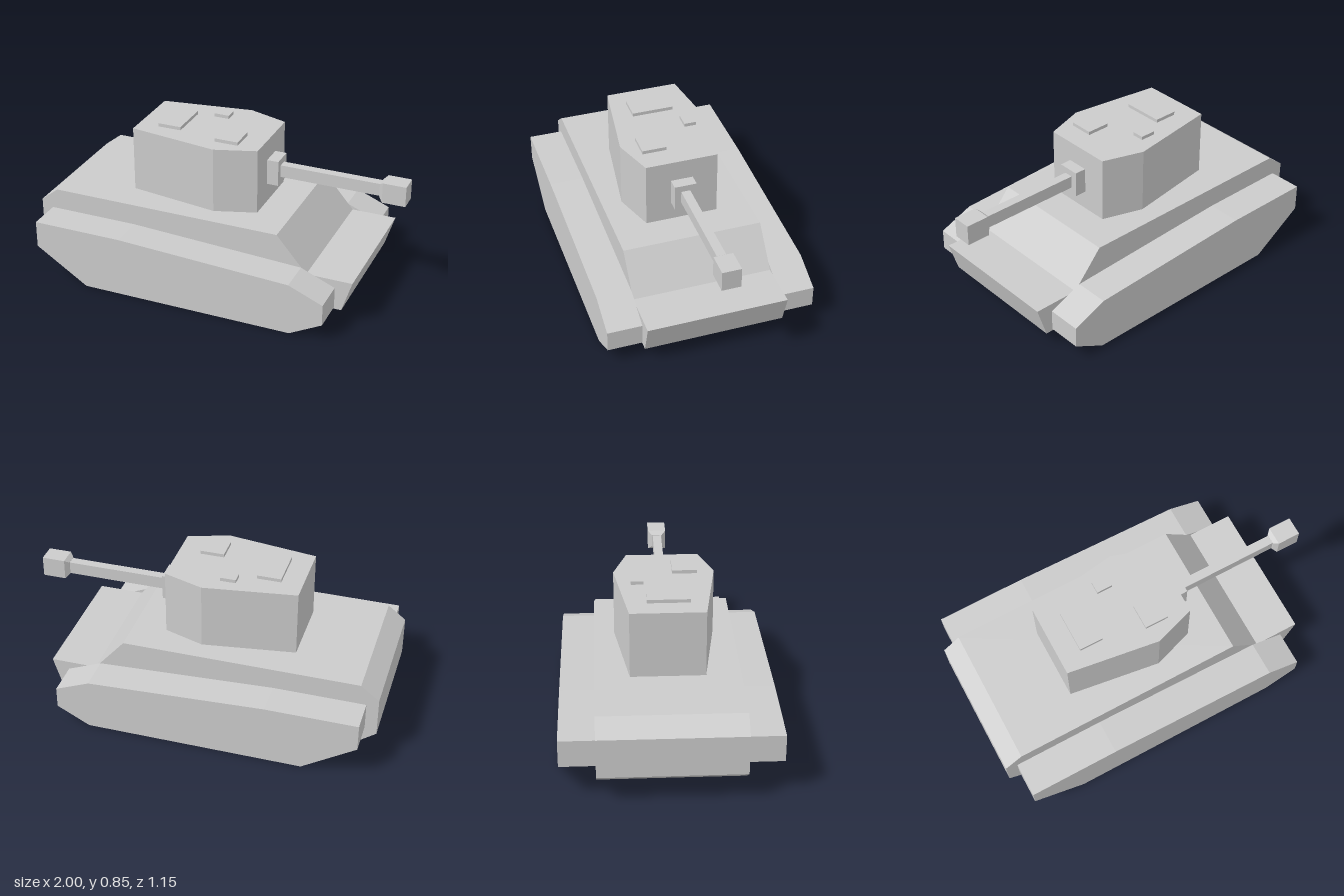
import * as THREE from 'three';

const material = new THREE.MeshStandardMaterial({ color: 0xcccccc, flatShading: true });

function addMesh(parent, name, geometry) {
  const mesh = new THREE.Mesh(geometry, material);
  mesh.name = name;
  parent.add(mesh);
  return mesh;
}

// Side outline (x, y) extruded across z
function sidePrism(points, z0, z1) {
  const shape = new THREE.Shape(points.map(([x, y]) => new THREE.Vector2(x, y)));
  return new THREE.ExtrudeGeometry(shape, { depth: z1 - z0, bevelEnabled: false }).translate(0, 0, z0);
}

// Plan outline (x, z) extruded upwards
function planPrism(points, y0, y1) {
  const shape = new THREE.Shape(points.map(([x, z]) => new THREE.Vector2(x, -z)));
  return new THREE.ExtrudeGeometry(shape, { depth: y1 - y0, bevelEnabled: false })
    .rotateX(-Math.PI / 2).translate(0, y0, 0);
}

// Box given by its limits on each axis
function box(x0, x1, y0, y1, z0, z1) {
  return new THREE.BoxGeometry(x1 - x0, y1 - y0, z1 - z0)
    .translate((x0 + x1) / 2, (y0 + y1) / 2, (z0 + z1) / 2);
}

export function createModel() {
  const tank = new THREE.Group();
  tank.name = 'tank';

  // Hull with sloped front plate and chamfered rear
  addMesh(tank, 'hull', sidePrism([
    [-1, 0.16], [-0.9, 0.085], [0.78, 0.085], [0.835, 0.26], [0.58, 0.26],
    [0.41, 0.458], [-0.9, 0.458], [-1, 0.38],
  ], -0.385, 0.385));

  // Track housings on both sides
  const track = [
    [-0.935, 0.19], [-0.64, 0], [0.56, 0], [0.74, 0.095], [0.74, 0.213],
    [0.55, 0.292], [-0.43, 0.34], [-0.935, 0.34],
  ];
  addMesh(tank, 'leftTrack', sidePrism(track, -0.575, -0.385));
  addMesh(tank, 'rightTrack', sidePrism(track, 0.385, 0.575));

  // Turret and roof hatches
  const turret = new THREE.Group();
  turret.name = 'turret';
  tank.add(turret);
  addMesh(turret, 'turretBody', planPrism([
    [-0.507, 0.2], [0, 0.274], [0.225, 0.2], [0.225, -0.2], [0, -0.274], [-0.507, -0.2],
  ], 0.458, 0.826));
  addMesh(turret, 'rearHatch', box(-0.39, -0.258, 0.82, 0.845, -0.105, 0.124));
  addMesh(turret, 'smallHatch', box(-0.162, -0.075, 0.82, 0.845, -0.182, -0.115));
  addMesh(turret, 'frontHatch', box(-0.031, 0.102, 0.82, 0.845, 0.045, 0.18));

  // Gun: mantlet, square barrel, flared collar and muzzle
  const gun = new THREE.Group();
  gun.name = 'gun';
  turret.add(gun);
  addMesh(gun, 'mantlet', box(0.22, 0.29, 0.567, 0.711, -0.061, 0.061));
  addMesh(gun, 'barrel', box(0.28, 0.855, 0.605, 0.675, -0.025, 0.025));
  const collar = box(0.85, 0.872, 0.582, 0.696, -0.052, 0.052);
  const p = collar.attributes.position;
  for (let i = 0; i < p.count; i++) {
    if (p.getX(i) < 0.86) p.setXYZ(i, 0.85, 0.64 + Math.sign(p.getY(i) - 0.64) * 0.037, Math.sign(p.getZ(i)) * 0.03);
  }
  collar.computeVertexNormals();
  addMesh(gun, 'muzzleCollar', collar);
  addMesh(gun, 'muzzle', box(0.872, 1, 0.582, 0.696, -0.052, 0.052));

  return tank;
}
